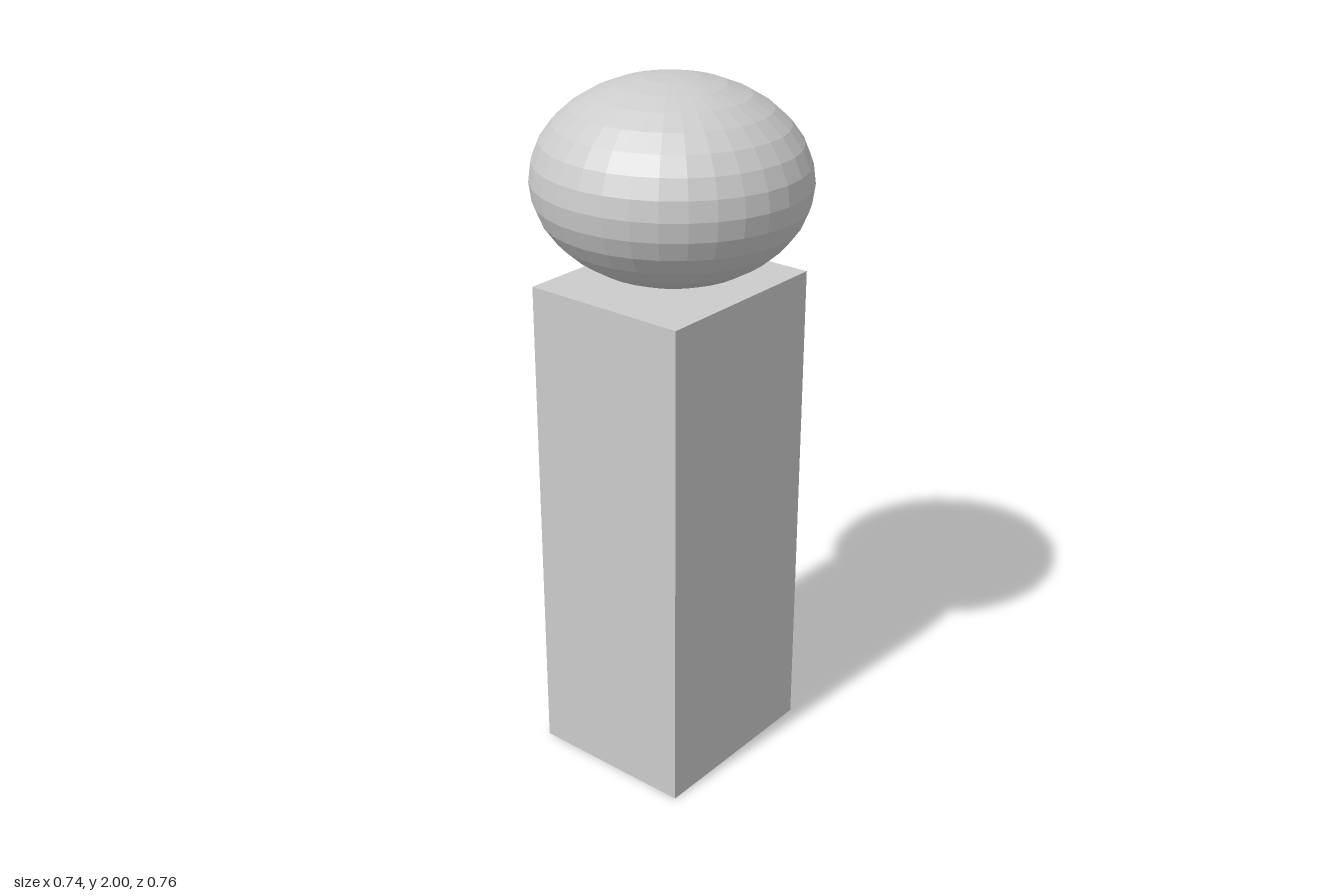
import * as THREE from 'three';

export function createModel() {
  const group = new THREE.Group();
  const material = new THREE.MeshStandardMaterial({ color: 0xcccccc, flatShading: true });

  // Tall rectangular post
  const post = new THREE.Mesh(new THREE.BoxGeometry(0.564, 1.445, 0.494), material);
  post.name = 'post';
  post.position.set(0.002, 0.7225, -0.003);
  group.add(post);

  // Flattened faceted ball resting on the post
  const ball = new THREE.Mesh(new THREE.SphereGeometry(1, 32, 16), material);
  ball.name = 'ball';
  ball.scale.set(0.369, 0.275, 0.381);
  ball.position.y = 1.725;
  group.add(ball);

  return group;
}
